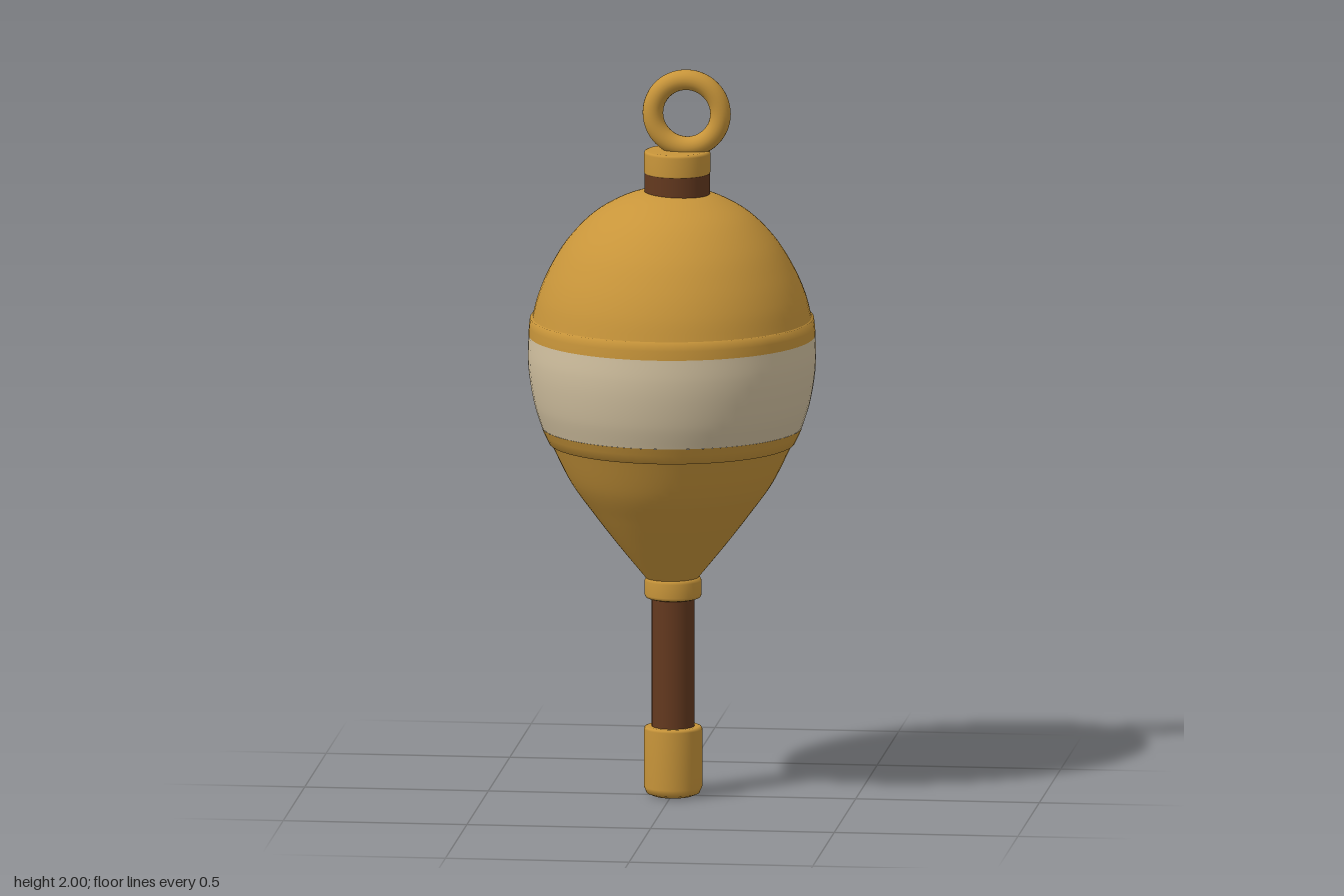
import * as THREE from 'three';

export function createModel() {
  const group = new THREE.Group();
  group.name = 'fishingFloat';
  const material = (name, color) => {
    const m = new THREE.MeshStandardMaterial({ color });
    m.name = name;
    return m;
  };
  const gold = material('gold', 0xc8953a);
  const cream = material('cream', 0xd2c1a0);
  const brown = material('brown', 0x64391f);

  const add = (name, geometry, mat, x = 0, y = 0) => {
    const mesh = new THREE.Mesh(geometry, mat);
    mesh.name = name;
    mesh.position.set(x, y, 0);
    group.add(mesh);
    return mesh;
  };
  const points = (list) => list.map(([r, y]) => new THREE.Vector2(r, y));
  const lathe = (name, list, mat, x = 0) => add(name, new THREE.LatheGeometry(points(list), 64), mat, x);
  // Smooth profile through a few points
  const curved = (name, list, mat) =>
    add(name, new THREE.LatheGeometry(new THREE.SplineCurve(points(list)).getPoints(36), 64), mat);
  const cylinder = (name, r, y0, y1, mat, x) =>
    add(name, new THREE.CylinderGeometry(r, r, y1 - y0, 40), mat, x, (y0 + y1) / 2);
  // Cylinder with small bevels, drawn as separate strips to keep its edges crisp
  const ferrule = (name, r, y0, y1, b0, b1, mat, x) => {
    const list = [[0, y0], [r - b0, y0], [r - b0 * 0.3, y0 + b0 * 0.3], [r, y0 + b0],
      [r, y1 - b1], [r - b1 * 0.3, y1 - b1 * 0.3], [r - b1, y1], [0, y1]];
    lathe(name, list, mat, x);
  };

  // Pear-shaped body: lower cone, painted belt and upper dome
  curved('lowerBody', [[0.06, 0.59], [0.085, 0.62], [0.15, 0.7], [0.215, 0.785], [0.275, 0.87], [0.327, 0.975]], gold);
  lathe('lowerTrim', [[0.32, 0.974], [0.333, 0.975], [0.345, 1.0], [0.354, 1.02]], gold);
  curved('paintedBelt', [[0.353, 1.02], [0.372, 1.08], [0.385, 1.15], [0.39, 1.21], [0.388, 1.27]], cream);
  lathe('upperTrim', [[0.388, 1.27], [0.387, 1.295], [0.384, 1.318], [0.37, 1.32]], gold);
  curved('upperBody', [[0.378, 1.318], [0.362, 1.38], [0.332, 1.45], [0.285, 1.527], [0.22, 1.596],
    [0.15, 1.64], [0.08, 1.665], [0, 1.672]], gold);

  // Lower stem and its metal ends
  cylinder('stem', 0.058, 0.15, 0.58, brown, 0.003);
  ferrule('stemCollar', 0.077, 0.547, 0.607, 0.01, 0.012, gold, 0.003);
  ferrule('stemCap', 0.079, 0.004, 0.195, 0.025, 0.008, gold, 0.003);

  // Neck and hanging ring
  cylinder('neck', 0.089, 1.64, 1.72, brown, 0.014);
  ferrule('neckCollar', 0.09, 1.715, 1.778, 0.004, 0.008, gold, 0.014);
  add('ring', new THREE.TorusGeometry(0.092, 0.028, 20, 56), gold, 0.04, 1.88);
  return group;
}
